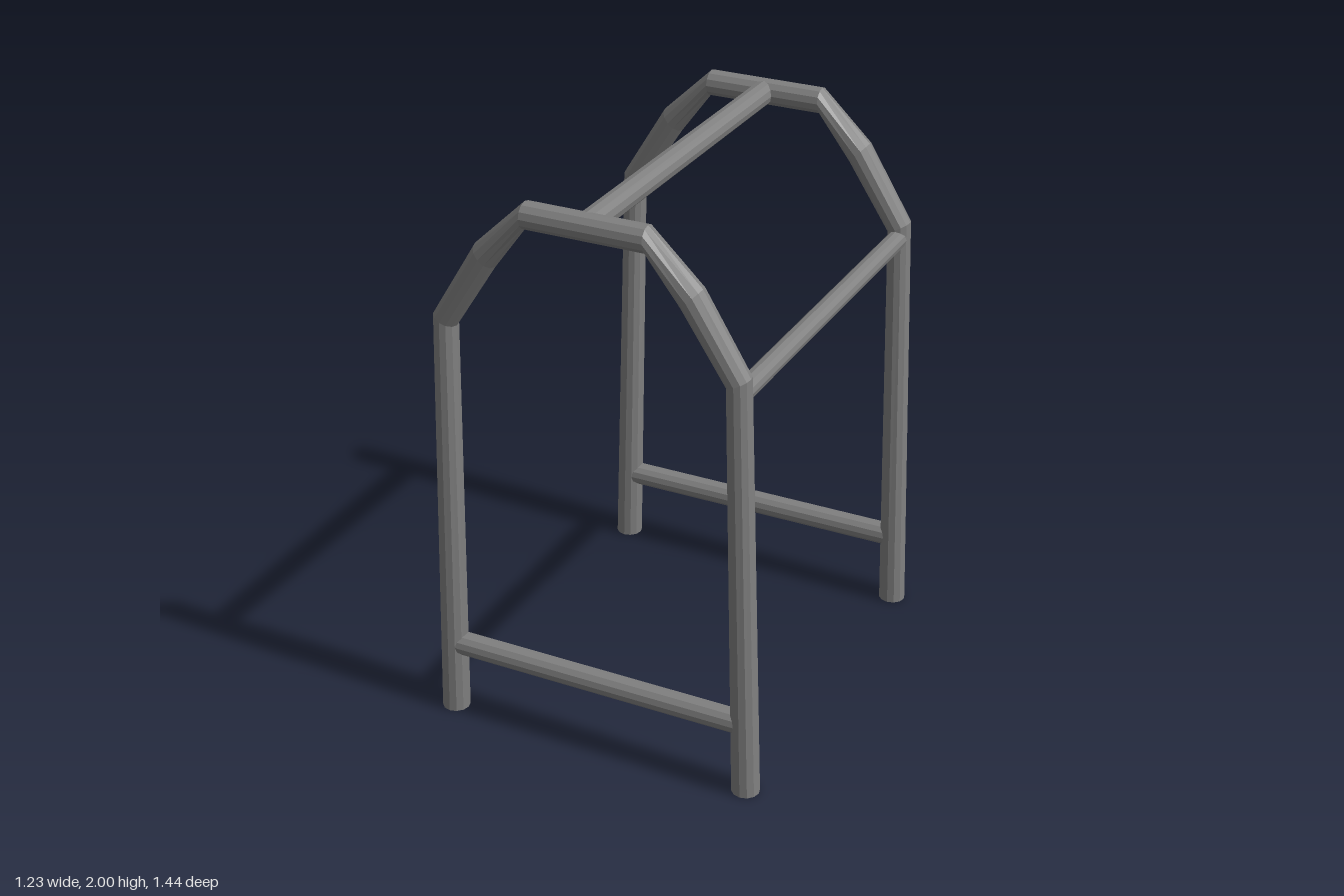
import * as THREE from 'three';

const SIDES = 12;
const FRAME_Z = 0.672;

// Bent tube in the xy plane from rings {x, y, angle of outward normal, radius}, capped at both ends
function bentTube(rings) {
  const pos = [], index = [];
  for (const { x, y, angle, r } of rings) {
    for (let j = 0; j < SIDES; j++) {
      const a = (j / SIDES) * Math.PI * 2;
      const d = r * Math.cos(a);
      pos.push(x + d * Math.cos(angle), y + d * Math.sin(angle), r * Math.sin(a));
    }
  }
  const last = (rings.length - 1) * SIDES;
  for (let i = 0; i < rings.length - 1; i++) {
    for (let j = 0; j < SIDES; j++) {
      const a = i * SIDES + j, b = i * SIDES + (j + 1) % SIDES;
      index.push(a, a + SIDES, b, b, a + SIDES, b + SIDES);
    }
  }
  for (let j = 1; j < SIDES - 1; j++) {
    index.push(0, j, j + 1);
    index.push(last, last + j + 1, last + j);
  }
  const g = new THREE.BufferGeometry();
  g.setAttribute('position', new THREE.Float32BufferAttribute(pos, 3));
  g.setIndex(index);
  const flat = g.toNonIndexed();
  flat.computeVertexNormals();
  return flat;
}

export function createModel() {
  const group = new THREE.Group();
  const steel = new THREE.MeshStandardMaterial({ color: 0x808080, flatShading: true });
  steel.name = 'grey steel';

  const add = (name, geometry, x, y, z) => {
    const mesh = new THREE.Mesh(geometry, steel);
    mesh.name = name;
    mesh.position.set(x, y, z);
    group.add(mesh);
    return mesh;
  };

  // Arched frame: one half, then mirrored down the other side
  const half = [
    { x: 0.567, y: 0, angle: 0, r: 0.049 },
    { x: 0.524, y: 1.535, angle: 0.46, r: 0.045 },
    { x: 0.365, y: 1.788, angle: 0.8, r: 0.05 },
    { x: 0.214, y: 1.954, angle: Math.PI / 2, r: 0.046 },
  ];
  const mirrored = half.map(p => ({ ...p, x: -p.x, angle: Math.PI - p.angle })).reverse();
  const arch = bentTube([...half, ...mirrored]);

  // Front and back ends, each with a low crossbar between its legs
  for (const [end, s] of [['front', 1], ['back', -1]]) {
    add(end + 'Arch', arch, 0, 0, s * FRAME_Z);
    const bar = new THREE.CylinderGeometry(0.042, 0.042, 1.11, SIDES);
    add(end + 'Crossbar', bar, 0, 0.27, s * FRAME_Z).rotation.z = Math.PI / 2;
  }

  // Rails joining the two arches: ridge at the top, one side rail
  const rail = (name, r, x, y) => {
    const g = new THREE.CylinderGeometry(r, r, FRAME_Z * 2, SIDES);
    add(name, g, x, y, 0).rotation.x = Math.PI / 2;
  };
  rail('ridgeRail', 0.043, -0.003, 1.954);
  rail('sideRail', 0.035, 0.527, 1.495);

  return group;
}
